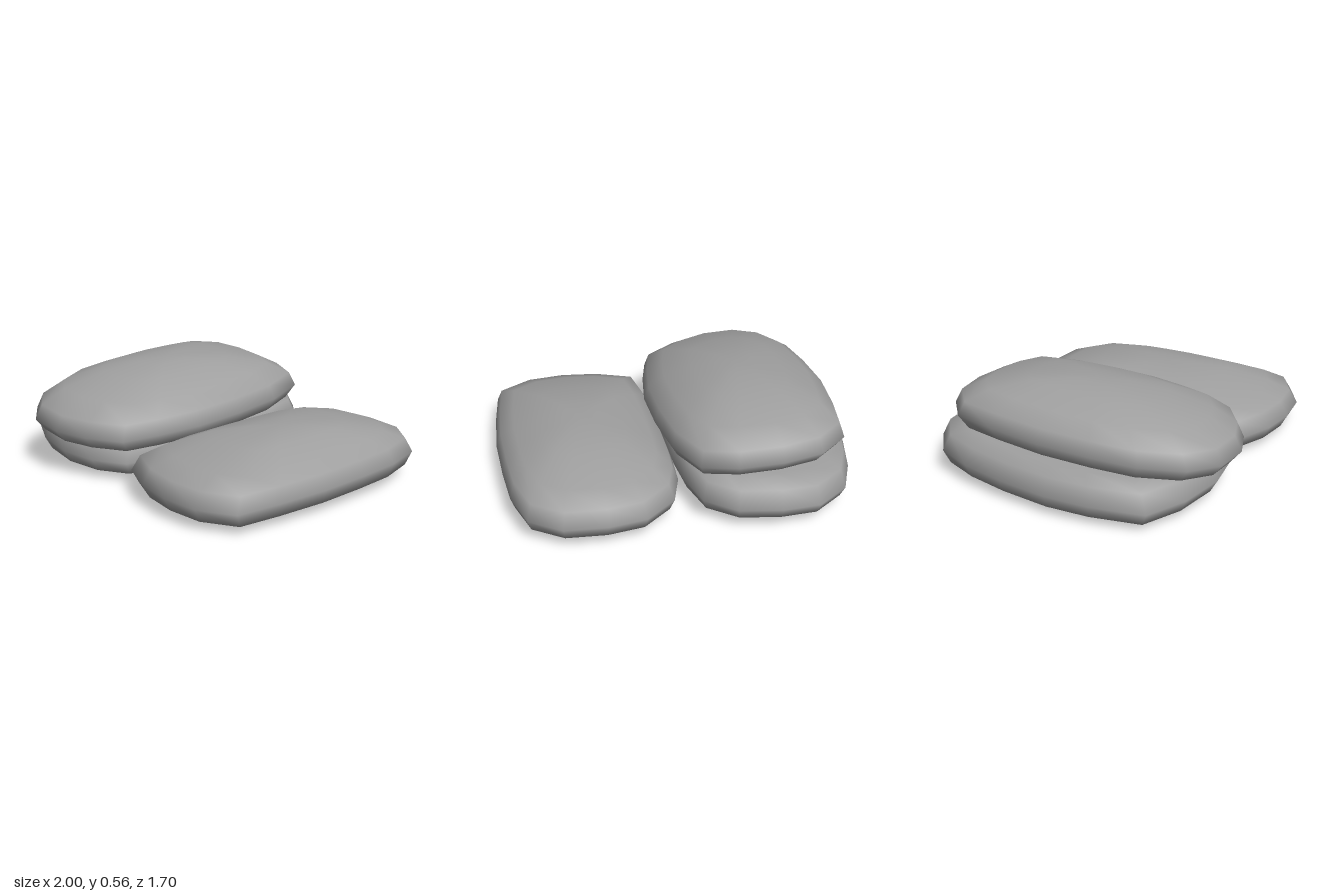
import * as THREE from 'three';

const material = new THREE.MeshStandardMaterial({ color: 0x9f9f9f, side: THREE.DoubleSide });

// A stuffed sack: one plan outline [x, z] (clockwise from above) is scaled
// through a profile of [scale, height] rings, bottom to top.
// The innermost bottom ring is squared off, and left open unless closed is set.
function makeSack({ name, outline, centre, base, tiltX, tiltZ, profile, crown, closed }) {
  const [cx, cz] = centre;
  const local = outline.map(([x, z]) => [x - cx, z - cz]);
  const hx = Math.max(...local.map(p => Math.abs(p[0])));
  const hz = Math.max(...local.map(p => Math.abs(p[1])));
  const n = local.length;
  const positions = [], indices = [];
  const add = (x, y, z) => positions.push(cx + x, base + y + tiltX * x + tiltZ * z, cz + z);

  profile.forEach(([scale, y], ring) => {
    for (const [x, z] of local) {
      const square = 1 / Math.max(Math.abs(x) / hx, Math.abs(z) / hz);
      const s = ring === 0 ? scale * square : scale;
      add(x * s, y, z * s);
    }
  });

  for (let i = 0; i < profile.length - 1; i++) {
    for (let j = 0; j < n; j++) {
      const k = (j + 1) % n;
      const a = i * n + j, b = i * n + k, c = b + n, d = a + n;
      indices.push(a, d, c, a, c, b);
    }
  }

  // Top crown, and the underside when closed
  const last = (profile.length - 1) * n, top = profile.length * n;
  add(0, crown, 0);
  for (let j = 0; j < n; j++) indices.push(last + j, top, last + (j + 1) % n);
  if (closed) {
    add(0, profile[0][1], 0);
    for (let j = 0; j < n; j++) indices.push(top + 1, j, (j + 1) % n);
  }

  const geometry = new THREE.BufferGeometry();
  geometry.setAttribute('position', new THREE.Float32BufferAttribute(positions, 3));
  geometry.setIndex(indices);
  geometry.computeVertexNormals();
  const mesh = new THREE.Mesh(geometry, material);
  mesh.name = name;
  return mesh;
}

export function createModel() {
  const group = new THREE.Group();
  group.name = 'sackPile';

  // Sack lying alone on the left
  group.add(makeSack({
    name: 'leftSack',
    outline: [
      [0.05, 0.05], [0.05, -0.25], [0.06, -0.46], [0.12, -0.65], [0.29, -0.79], [0.5, -0.82],
      [0.73, -0.8], [0.9, -0.68], [0.97, -0.45], [0.99, -0.2], [1, 0.1], [0.98, 0.4],
      [0.95, 0.65], [0.76, 0.76], [0.54, 0.78], [0.32, 0.75], [0.1, 0.66], [0.06, 0.4],
    ],
    centre: [0.52, -0.02], base: 0.14, tiltX: 0, tiltZ: -0.015,
    profile: [[0.48, -0.13], [0.74, -0.115], [0.95, -0.08], [1, -0.005], [0.94, 0.075],
      [0.78, 0.125], [0.48, 0.185], [0.2, 0.203]],
    crown: 0.205,
  }));

  // Sack under the stack on the right
  group.add(makeSack({
    name: 'lowerRightSack',
    outline: [
      [-1, 0.05], [-0.96, -0.25], [-0.9, -0.5], [-0.81, -0.71], [-0.63, -0.84], [-0.42, -0.85],
      [-0.19, -0.81], [-0.03, -0.68], [0.03, -0.45], [0.05, -0.2], [0.05, 0.1], [0.04, 0.38],
      [0, 0.62], [-0.18, 0.72], [-0.42, 0.75], [-0.7, 0.7], [-0.93, 0.59], [-0.99, 0.3],
    ],
    centre: [-0.47, -0.05], base: 0.13, tiltX: 0.01, tiltZ: -0.015,
    profile: [[0.47, -0.12], [0.74, -0.11], [0.95, -0.075], [1, -0.005], [0.94, 0.09],
      [0.78, 0.12], [0.48, 0.13], [0.2, 0.13]],
    crown: 0.13,
  }));

  // Sack resting on top, leaning toward the front
  group.add(makeSack({
    name: 'upperRightSack',
    outline: [
      [-0.9, -0.05], [-0.87, -0.35], [-0.83, -0.58], [-0.67, -0.71], [-0.45, -0.745],
      [-0.21, -0.73], [-0.02, -0.66], [0.08, -0.4], [0.115, -0.1], [0.12, 0.2], [0.08, 0.46],
      [0.03, 0.66], [-0.15, 0.78], [-0.34, 0.845], [-0.57, 0.835], [-0.74, 0.72],
      [-0.85, 0.5], [-0.885, 0.25],
    ],
    centre: [-0.39, 0.05], base: 0.325, tiltX: -0.05, tiltZ: -0.055,
    profile: [[0.5, -0.11], [0.76, -0.108], [0.93, -0.08], [1, -0.01], [0.95, 0.07],
      [0.78, 0.143], [0.48, 0.204], [0.2, 0.228]],
    crown: 0.23, closed: true,
  }));

  return group;
}
